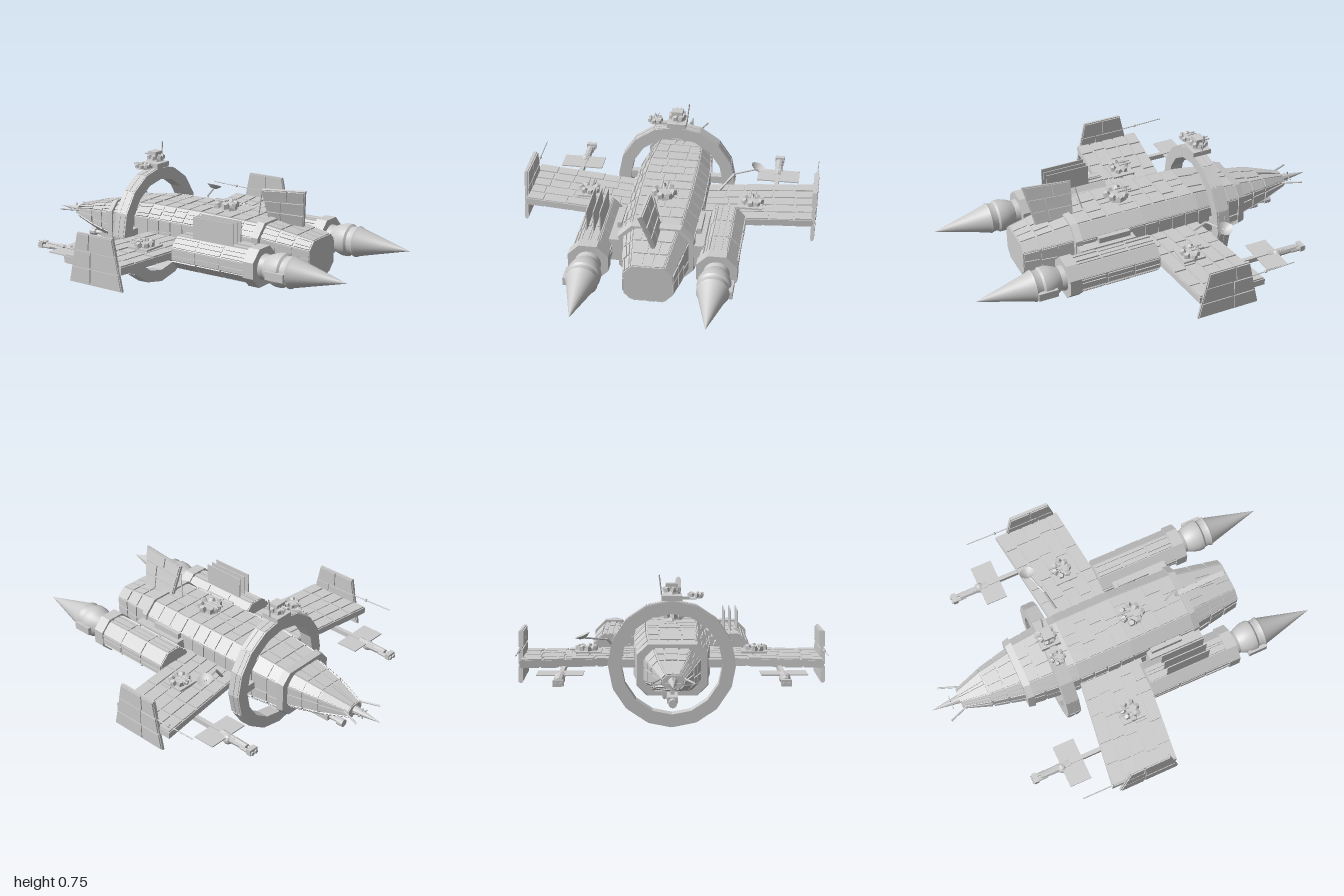
import * as THREE from 'three';
import { mergeGeometries, toCreasedNormals } from 'three/addons/utils/BufferGeometryUtils.js';

const V = (x, y, z) => new THREE.Vector3(x, y, z);
let seed = 7;
const rnd = () => (seed = (seed * 16807) % 2147483647) / 2147483647;

const fromPoints = pts => new THREE.BufferGeometry().setFromPoints(pts);
const quad = (out, a, b, c, d) => out.push(a, b, c, a, c, d);

// Thickened quad: corners run counter-clockwise seen from the raised side
function slab(out, [a, b, c, d], t) {
  const n = c.clone().sub(a).cross(d.clone().sub(b)).normalize().multiplyScalar(t);
  const lo = [a, b, c, d], hi = lo.map(p => p.clone().add(n));
  quad(out, ...hi);
  quad(out, d, c, b, a);
  for (let i = 0; i < 4; i++) {
    const j = (i + 1) % 4;
    quad(out, lo[i], lo[j], hi[j], hi[i]);
  }
}

// Irregular raised plates with gaps, laid over a quad
function plates(out, [a, b, c, d], rows, cols, t = 0.006, gap = 0.005) {
  const at = (u, v) => a.clone().lerp(b, u).lerp(d.clone().lerp(c, u), v);
  const w = Math.max(a.distanceTo(b), c.distanceTo(d)), h = Math.max(a.distanceTo(d), b.distanceTo(c));
  const gu = gap / w, gv = gap / h;
  for (let r = 0; r < rows; r++) {
    const cuts = [0];
    for (let i = 1; i < cols; i++) cuts.push((i + (rnd() - 0.5) * 0.7) / cols);
    cuts.push(1);
    for (let i = 0; i < cols; i++) {
      const u0 = cuts[i] + gu, u1 = cuts[i + 1] - gu, v0 = r / rows + gv, v1 = (r + 1) / rows - gv;
      slab(out, [at(u0, v0), at(u1, v0), at(u1, v1), at(u0, v1)], t * (0.6 + 0.6 * rnd()));
    }
  }
}

// Thin board with plates on both faces
function board(corners, t, rows, cols) {
  const out = [], n = corners[2].clone().sub(corners[0]).cross(corners[3].clone().sub(corners[1])).normalize();
  slab(out, corners, t);
  plates(out, corners.map(p => p.clone().addScaledVector(n, t)), rows, cols);
  const [a, b, c, d] = corners;
  plates(out, [b, a, d, c], rows, cols);
  return fromPoints(out);
}

// Chamfered rectangular sections [z, halfWidth, yLow, yHigh, chamfer], z ascending
const section = ([z, w, y0, y1, k], cx) => [
  [w, y0 + k], [w, y1 - k], [w - k, y1], [k - w, y1], [-w, y1 - k], [-w, y0 + k], [k - w, y0], [w - k, y0],
].map(([x, y]) => V(cx + x, y, z));
function loft(sections, cx = 0, plan = null) {
  const out = [], rings = sections.map(s => section(s, cx));
  for (let s = 0; s + 1 < rings.length; s++) {
    for (let i = 0; i < 8; i++) {
      const j = (i + 1) % 8, q = [rings[s][i], rings[s][j], rings[s + 1][j], rings[s + 1][i]];
      quad(out, ...q);
      if (plan) plates(out, q, plan[s], i % 2 ? (i === 3 || i === 7 ? 3 : 1) : (i === 2 || i === 6 ? 3 : 2));
    }
  }
  const first = rings[0], last = rings[rings.length - 1];
  for (let i = 1; i < 7; i++) out.push(first[0], first[i + 1], first[i], last[0], last[i], last[i + 1]);
  return fromPoints(out);
}

const box = (w, h, d, x, y, z) => new THREE.BoxGeometry(w, h, d).translate(x, y, z);
const rodZ = (r0, r1, z0, z1, x, y, n = 10) =>
  new THREE.CylinderGeometry(r1, r0, z1 - z0, n).rotateX(Math.PI / 2).translate(x, y, (z0 + z1) / 2);
const rod = (a, b, r) => new THREE.TubeGeometry(new THREE.LineCurve3(a, b), 1, r, 6);
const merge = list => mergeGeometries(list.map(g => {
  const n = g.index ? g.toNonIndexed() : g.clone();
  n.deleteAttribute('uv');
  n.deleteAttribute('normal');
  return n;
}));
function mirror(geo) {
  const g = geo.index ? geo.toNonIndexed() : geo.clone();
  const p = g.attributes.position, pts = [];
  for (let i = 0; i < p.count; i += 3)
    for (const k of [0, 2, 1]) pts.push(V(-p.getX(i + k), p.getY(i + k), p.getZ(i + k)));
  return fromPoints(pts);
}

// Low turret: drum with a ring of tilted lobes and two short barrels
function turret(x, y, z, r, flip = 1) {
  const parts = [new THREE.CylinderGeometry(r * 0.65, r * 0.8, r * 0.4, 8)];
  for (let i = 0; i < 7; i++) {
    const a = i / 7 * Math.PI * 2;
    parts.push(new THREE.CylinderGeometry(r * 0.2, r * 0.32, r * 0.35, 5).rotateZ(-0.35)
      .translate(r * (0.6 + 0.15 * rnd()), r * 0.22, 0).rotateY(a));
  }
  for (const s of [-1, 1]) parts.push(rodZ(r * 0.07, r * 0.07, -r * 1.1, 0, s * r * 0.2, r * 0.4, 6));
  const g = merge(parts);
  if (flip < 0) g.rotateZ(Math.PI);
  return g.translate(x, y, z);
}

export function createModel() {
  seed = 7;
  const model = new THREE.Group();
  const flat = new THREE.MeshStandardMaterial({ color: 0xcccccc, flatShading: true, side: THREE.DoubleSide });
  const smooth = new THREE.MeshStandardMaterial({ color: 0xcccccc, side: THREE.DoubleSide });
  const add = (name, geo, mat = flat) => {
    if (!geo.attributes.normal) geo.computeVertexNormals();
    const mesh = new THREE.Mesh(geo, mat);
    mesh.name = name;
    model.add(mesh);
  };
  const pair = (name, geo) => { add(name + 'Left', geo); add(name + 'Right', mirror(geo)); };

  // Hull, nose and tail
  add('hull', loft([[-0.53, 0.158, 0.215, 0.445, 0.05], [-0.25, 0.185, 0.19, 0.475, 0.06],
    [0.05, 0.187, 0.187, 0.478, 0.06], [0.4, 0.178, 0.19, 0.47, 0.06]], 0, [3, 4, 4]));
  add('nose', loft([[-0.85, 0.047, 0.3, 0.36, 0.018], [-0.7, 0.095, 0.265, 0.4, 0.03],
    [-0.53, 0.132, 0.23, 0.43, 0.045]], 0, [1, 2]));
  add('tail', loft([[0.42, 0.16, 0.195, 0.465, 0.055], [0.68, 0.117, 0.23, 0.42, 0.04]], 0, [3]));
  add('frontCollar', loft([[-0.535, 0.168, 0.205, 0.452, 0.05], [-0.5, 0.174, 0.2, 0.46, 0.05]]));
  add('rearCollar', loft([[0.39, 0.192, 0.178, 0.485, 0.065], [0.425, 0.186, 0.182, 0.48, 0.065]]));

  // Nose spike and feelers
  add('noseSpike', merge([rodZ(0.001, 0.024, -1, -0.84, 0, 0.33, 10), box(0.07, 0.006, 0.006, 0, 0.33, -0.895),
    box(0.006, 0.06, 0.006, 0, 0.33, -0.895)]));
  pair('noseFeeler', rod(V(0.05, 0.34, -0.81), V(0.095, 0.34, -0.93), 0.005));
  add('chinGun', merge([box(0.05, 0.03, 0.13, 0, 0.215, -0.64), rodZ(0.012, 0.012, -0.79, -0.68, 0, 0.215),
    rodZ(0.02, 0.02, -0.79, -0.755, 0, 0.215), box(0.02, 0.05, 0.05, 0, 0.235, -0.61)]));

  // Ring round the hull, with rim plates and struts
  const corner = (r, i, z) => V(r * Math.sin(i * Math.PI / 8), 0.327 + r * Math.cos(i * Math.PI / 8), z);
  const loop = r => Array.from({ length: 16 }, (_, i) => corner(r, i, 0));
  const ring = new THREE.Shape(loop(0.313));
  ring.holes.push(new THREE.Path(loop(0.25)));
  add('ring', new THREE.ExtrudeGeometry(ring, { depth: 0.07, bevelEnabled: false }).translate(0, 0, -0.375));
  const rim = [];
  for (let i = 0; i < 16; i++) {
    plates(rim, [corner(0.312, i, -0.37), corner(0.312, i, -0.31), corner(0.312, i + 1, -0.31),
      corner(0.312, i + 1, -0.37)], 1, 2, 0.004, 0.003);
  }
  add('ringPlates', fromPoints(rim));
  pair('ringStrut', box(0.1, 0.04, 0.04, 0.215, 0.33, -0.34));

  // Turret platform on top of the ring
  add('ringTurret', merge([box(0.1, 0.025, 0.1, 0, 0.655, -0.34), turret(0, 0.685, -0.34, 0.055),
    turret(-0.115, 0.66, -0.335, 0.045), box(0.1, 0.012, 0.03, -0.07, 0.652, -0.335),
    box(0.06, 0.04, 0.05, 0, 0.705, -0.34), rod(V(0.05, 0.66, -0.34), V(0.062, 0.765, -0.34), 0.004)]));

  // Wings with winglets
  pair('wing', board([V(0.17, 0.305, 0.09), V(0.75, 0.305, 0.025), V(0.75, 0.305, -0.33), V(0.17, 0.305, -0.25)],
    0.033, 5, 5));
  pair('winglet', board([V(0.745, 0.22, 0.035), V(0.745, 0.22, -0.29), V(0.745, 0.475, -0.235), V(0.745, 0.475, -0.02)],
    0.012, 3, 2));
  pair('wingletRod', merge([rod(V(0.752, 0.38, -0.2), V(0.752, 0.39, -0.49), 0.003),
    new THREE.IcosahedronGeometry(0.009, 0).translate(0.752, 0.385, -0.33)]));
  pair('wingTurret', merge([turret(0.43, 0.355, -0.085, 0.062), box(0.13, 0.02, 0.12, 0.42, 0.343, -0.085)]));

  // Guns slung below the wings
  pair('wingGun', merge([box(0.022, 0.025, 0.4, 0.535, 0.295, -0.36), box(0.225, 0.006, 0.115, 0.54, 0.3, -0.46),
    rodZ(0.018, 0.022, -0.63, -0.47, 0.535, 0.29, 8), rodZ(0.01, 0.01, -0.68, -0.6, 0.523, 0.285, 8),
    rodZ(0.01, 0.01, -0.68, -0.6, 0.547, 0.285, 8), box(0.05, 0.03, 0.025, 0.535, 0.29, -0.66),
    new THREE.SphereGeometry(0.028, 10, 7).translate(0.54, 0.285, -0.515)]));

  // Engines: pod, collar, inboard mount, turned nozzle
  const profile = [[0, 0.54], [0.066, 0.54], [0.06, 0.575], [0.072, 0.6], [0.083, 0.635], [0.083, 0.665], [0.074, 0.675],
    [0.074, 0.695], [0.08, 0.71], [0.072, 0.725], [0, 1]].map(([r, z]) => new THREE.Vector2(r, z));
  const nozzle = new THREE.LatheGeometry(profile, 32).rotateX(Math.PI / 2);
  for (const [s, side] of [[1, 'Left'], [-1, 'Right']]) {
    add('enginePod' + side, loft([[0.065, 0.09, 0.25, 0.41, 0.05], [0.5, 0.09, 0.25, 0.41, 0.05]], s * 0.315, [3]));
    add('engineCollar' + side, loft([[0.49, 0.1, 0.235, 0.425, 0.055], [0.55, 0.1, 0.235, 0.425, 0.055]], s * 0.315));
    add('engineNozzle' + side, toCreasedNormals(nozzle.clone().translate(s * 0.315, 0.33, 0), 0.5), smooth);
  }
  pair('engineMount', merge([box(0.06, 0.12, 0.3, 0.205, 0.33, 0.27), box(0.022, 0.17, 0.17, 0.2, 0.335, 0.225)]));
  pair('nozzleValve', box(0.02, 0.04, 0.1, 0.398, 0.32, 0.66));

  // Three cooling fins on the right pod
  for (const x of [-0.35, -0.315, -0.282]) add('coolingFin', box(0.005, 0.115, 0.235, x, 0.465, 0.275));

  // Leaning dorsal fin with a whip aerial, and the belly keel
  add('dorsalFin', board([V(0.005, 0.455, 0.57), V(0.005, 0.455, 0.37), V(-0.05, 0.625, 0.355), V(-0.055, 0.65, 0.61)],
    0.014, 3, 2));
  add('dorsalAerial', rod(V(0, 0.47, 0.31), V(-0.02, 0.6, 0.34), 0.003));
  add('bellyKeel', board([V(0.035, 0.095, 0.19), V(0.035, 0.095, -0.09), V(-0.035, 0.185, -0.12), V(-0.035, 0.185, 0.24)],
    0.014, 2, 4));
  add('hullTurret', turret(-0.005, 0.495, 0.12, 0.07));
  add('bellyTurret', merge([turret(0, 0.165, -0.06, 0.06, -1), box(0.09, 0.02, 0.14, 0, 0.175, -0.03),
    rod(V(0.02, 0.16, -0.1), V(0.02, 0.1, -0.13), 0.005)]));

  // Dish on the left wing root
  const dish = new THREE.LatheGeometry([[0.001, 0], [0.02, 0.005], [0.04, 0.02]].map(([r, y]) => new THREE.Vector2(r, y)), 16)
    .rotateZ(-0.4).translate(0.435, 0.44, -0.27);
  add('dish', dish, smooth);
  add('dishArm', merge([rod(V(0.24, 0.335, -0.2), V(0.32, 0.43, -0.23), 0.007),
    rod(V(0.32, 0.43, -0.23), V(0.437, 0.445, -0.27), 0.005)]));

  return model;
}
